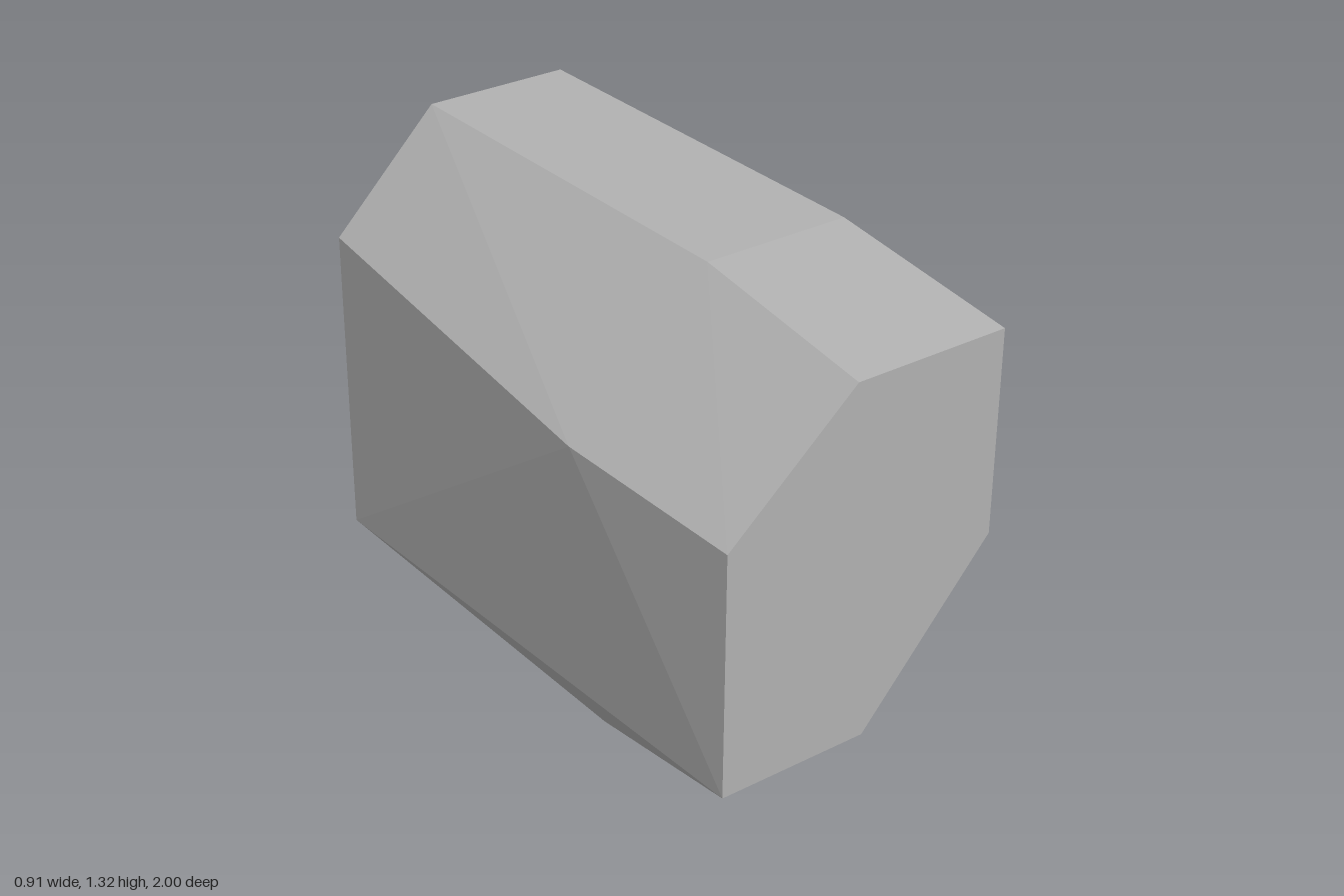
import * as THREE from 'three';
import { ConvexGeometry } from 'three/addons/geometries/ConvexGeometry.js';

export function createModel() {
  const group = new THREE.Group();
  group.name = 'facetedBlock';

  const stoneGrey = new THREE.MeshStandardMaterial({ color: 0xb2b2b2 });
  stoneGrey.name = 'stone grey';

  // Six-sided cross-sections, each from the upper right corner round to the lower right one
  const sections = [
    { z: -1, corners: [[0.456, 1.322], [-0.01, 1.322], [-0.35, 0.98], [-0.35, 0], [-0.017, 0], [0.456, 0.68]] },
    { z: 0.335, corners: [[0.456, 1.322], [-0.01, 1.322], [-0.458, 0.92], [-0.35, 0], [-0.017, 0], [0.456, 0.68]] },
    { z: 1, corners: [[0.424, 1.271], [-0.06, 1.271], [-0.458, 0.925], [-0.458, 0.192], [0.008, 0.192], [0.424, 0.665]] },
  ];

  // The block is the flat-faced solid wrapped tightly round its sections
  const points = sections.flatMap(({ z, corners }) =>
    corners.map(([x, y]) => new THREE.Vector3(x, y, z)));
  const block = new THREE.Mesh(new ConvexGeometry(points), stoneGrey);
  block.name = 'block';
  group.add(block);

  return group;
}
